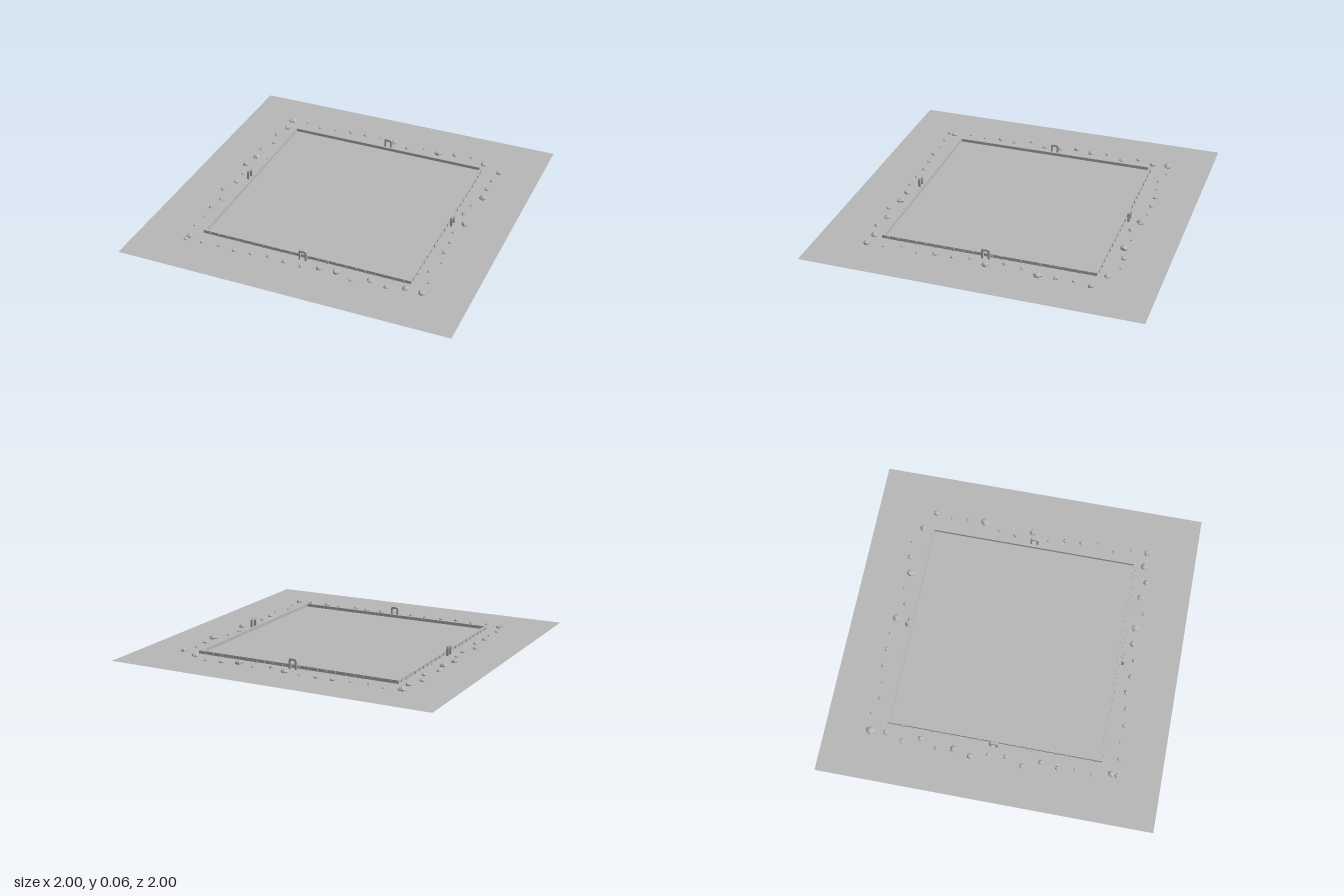
import * as THREE from 'three';

const stone = new THREE.MeshStandardMaterial({ color: 0xb8b8b8 });
stone.name = 'grey stone';
stone.side = THREE.DoubleSide;

function add(parent, name, geometry, x = 0, y = 0, z = 0) {
  const mesh = new THREE.Mesh(geometry, stone);
  mesh.name = name;
  mesh.position.set(x, y, z);
  parent.add(mesh);
  return mesh;
}

// Square outline used for the low wall
function square(target, h) {
  target.moveTo(-h, -h);
  target.lineTo(h, -h);
  target.lineTo(h, h);
  target.lineTo(-h, h);
  target.closePath();
  return target;
}

// Arch outline with rounded upper corners
function archPath(target, halfWidth, height, r) {
  target.moveTo(-halfWidth, 0);
  target.lineTo(halfWidth, 0);
  target.lineTo(halfWidth, height - r);
  target.quadraticCurveTo(halfWidth, height, halfWidth - r, height);
  target.lineTo(-halfWidth + r, height);
  target.quadraticCurveTo(-halfWidth, height, -halfWidth, height - r);
  target.closePath();
  return target;
}

// Lumpy boulder with a flat foot
function rockGeometry(r, seed) {
  const g = new THREE.IcosahedronGeometry(1, 1).toNonIndexed();
  const p = g.attributes.position;
  for (let i = 0; i < p.count; i++) {
    const x = p.getX(i), y = p.getY(i), z = p.getZ(i);
    const k = r * (0.92 + 0.14 * Math.sin(5 * x + seed * 1.7) * Math.cos(4 * z + seed) + 0.06 * Math.sin(6 * y + seed));
    p.setXYZ(i, x * k, Math.max(0, y * k * 0.75 + r * 0.2), z * k);
  }
  g.computeVertexNormals();
  return g;
}

// Rows of boulders: distance from the middle and radius, in steps along each side
const rows = [
  { side: 'back', start: -0.707,
    off: [-.735, -.75, -.72, -.73, -.748, -.749, -.75, -.735, -.70, -.732, -.714, -.738, -.75, -.698],
    rad: [.025, .01, .011, .009, .015, .014, .01, .024, .015, .01, .025, .018, .01, .021] },
  { side: 'front', start: -0.707,
    off: [.74, .737, .729, .735, .727, .713, .724, .727, .705, .702, .737, .702, .721, .694],
    rad: [.015, .012, .01, .015, .014, .016, .015, .013, .02, .023, .014, .02, .018, .022] },
  { side: 'left', start: -0.639,
    off: [.75, .733, .736, .744, .703, .69, .733, .693, .712, .712, .733, .695, .728, .727],
    rad: [.02, .011, .016, .026, .011, .015, .022, .01, .013, .016, .009, .011, .01, .022] },
  { side: 'right', start: -0.639,
    off: [-.70, -.734, -.699, -.742, -.726, -.75, -.72, -.715, -.752, -.71, -.726, -.715, -.726, -.699],
    rad: [.02, .016, .016, .014, .022, .02, .013, .016, .016, .015, .015, .01, .011, .016] },
];

export function createModel() {
  const model = new THREE.Group();
  model.name = 'walled field';

  // Flat ground
  add(model, 'ground', new THREE.PlaneGeometry(2, 2).rotateX(-Math.PI / 2));

  // Low wall around the field
  const ring = square(new THREE.Shape(), 0.642);
  ring.holes.push(square(new THREE.Path(), 0.628));
  const wall = new THREE.ExtrudeGeometry(ring, { depth: 0.019, bevelEnabled: false });
  add(model, 'wall', wall.rotateX(-Math.PI / 2));

  // Each side has a gate arch, small wall studs and two markers
  const arch = archPath(new THREE.Shape(), 0.025, 0.062, 0.014);
  arch.holes.push(archPath(new THREE.Path(), 0.014, 0.05, 0.008));
  const archGeometry = new THREE.ExtrudeGeometry(arch, { depth: 0.014, bevelEnabled: false, curveSegments: 5 });
  archGeometry.translate(0, 0, -0.007);
  const stud = new THREE.BoxGeometry(0.008, 0.016, 0.006);
  const marker = new THREE.ConeGeometry(0.007, 0.012, 3);
  for (let s = 0; s < 4; s++) {
    const side = new THREE.Group();
    side.name = 'wallSide';
    side.rotation.y = s * Math.PI / 2;
    add(side, 'gateArch', archGeometry, 0, 0, 0.662);
    for (let i = 0; i < 22; i++) add(side, 'wallStud', stud, -0.6 + i * 1.2 / 21, 0.008, 0.643);
    if (s % 2) for (const x of [-0.23, 0.23]) add(side, 'marker', marker, x, 0.006, 0.655);
    model.add(side);
  }

  // Boulders outside the wall
  let seed = 1;
  for (const { side, start, off, rad } of rows) {
    const alongX = side === 'back' || side === 'front';
    off.forEach((d, i) => {
      const t = start + i * 0.103;
      const rock = rockGeometry(rad[i], seed++);
      add(model, side + 'Boulder', rock, alongX ? t : d, 0, alongX ? d : t);
    });
  }
  // Extra corner boulder
  add(model, 'cornerBoulder', rockGeometry(0.02, seed), -0.7, 0, 0.705);
  return model;
}
